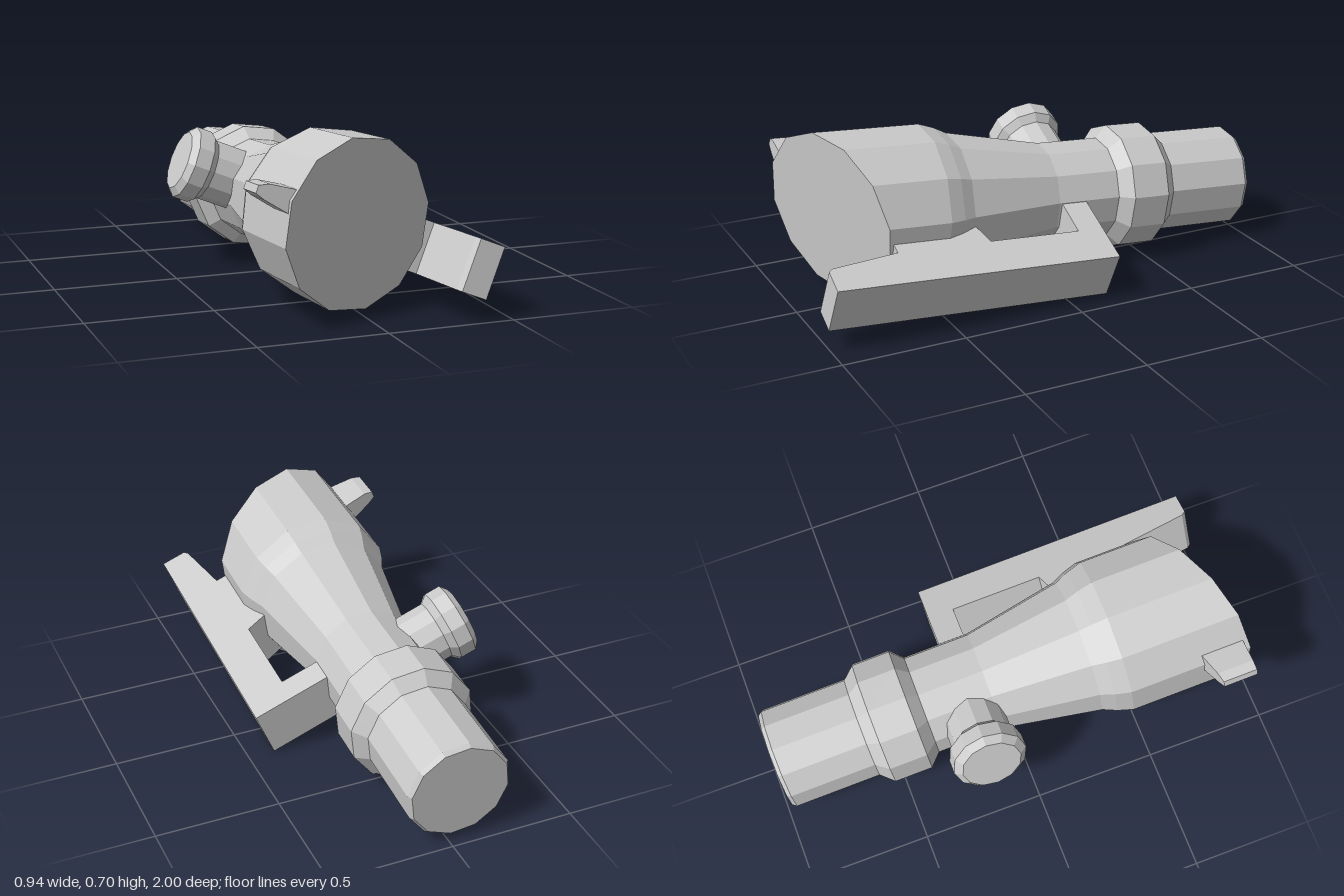
import * as THREE from 'three';

const material = new THREE.MeshStandardMaterial({ color: 0xcccccc, flatShading: true });

function addPart(group, name, geometry) {
  const mesh = new THREE.Mesh(geometry, material);
  mesh.name = name;
  group.add(mesh);
}

// Turned part with its axis along y; points are [radius, height]
function turned(points, sides = 12) {
  return new THREE.LatheGeometry(points.map(([r, y]) => new THREE.Vector2(r, y)), sides);
}

function extruded(points, depth) {
  const shape = new THREE.Shape(points.map(([x, y]) => new THREE.Vector2(x, y)));
  return new THREE.ExtrudeGeometry(shape, { depth, bevelEnabled: false });
}

export function createModel() {
  const model = new THREE.Group();
  // Everything is built along a straight z axis, then tipped and rolled together
  const scope = new THREE.Group();
  scope.name = 'scope';
  scope.position.set(-0.041, 0.308, 0);
  scope.rotation.set(-0.075, -0.007, -0.389);
  model.add(scope);

  // Tube: eyepiece, collar, waist and flared front bell
  const frontZ = 0.83;
  const tube = turned([
    [0, -0.98], [0.2, -0.98], [0.212, -0.963], [0.212, -0.607],
    [0.26, -0.555], [0.26, -0.397], [0.21, -0.348], [0.21, -0.075],
    [0.285, 0.335], [0.31, 0.39], [0.33, 0.455], [0.33, frontZ], [0, frontZ],
  ]);
  tube.rotateX(Math.PI / 2);
  // Slanted front face
  const p = tube.attributes.position;
  for (let i = 0; i < p.count; i++) {
    if (p.getZ(i) > frontZ - 0.01) p.setZ(i, frontZ - 0.41 * p.getX(i));
  }
  tube.computeVertexNormals();
  addPart(scope, 'tube', tube);

  // Side adjustment knob
  const knob = turned([
    [0, 0.08], [0.125, 0.08], [0.125, 0.3], [0.152, 0.33],
    [0.152, 0.395], [0.122, 0.42], [0, 0.42],
  ]);
  knob.rotateZ(Math.PI / 2);
  knob.translate(0, 0, -0.17);
  addPart(scope, 'adjustmentKnob', knob);

  // Small tapered fin beside the front opening
  const fin = extruded([
    [-0.28, 0.05], [-0.42, 0.032], [-0.457, 0.015],
    [-0.457, -0.015], [-0.42, -0.027], [-0.28, -0.052],
  ], 1);
  const f = fin.attributes.position;
  for (let i = 0; i < f.count; i++) {
    const back = 0.755 - 0.25 * (f.getX(i) + 0.28);
    f.setZ(i, f.getZ(i) > 0.5 ? 0.94 : back);
  }
  fin.computeVertexNormals();
  addPart(scope, 'fin', fin);

  // Side rail with a rear bracket, a front web and a narrowed front end
  const rail = extruded([
    [0.12, -0.195], [0.508, -0.195], [0.508, 0.983], [0.405, 0.983], [0.39, 0.965],
    [0.347, 0.69], [0.25, 0.69], [0.25, 0.33], [0.343, 0.3], [0.343, -0.085], [0.12, -0.085],
  ], 0.206);
  rail.rotateX(Math.PI / 2);
  rail.translate(0, 0.101, 0);
  addPart(scope, 'sideRail', rail);

  return model;
}
